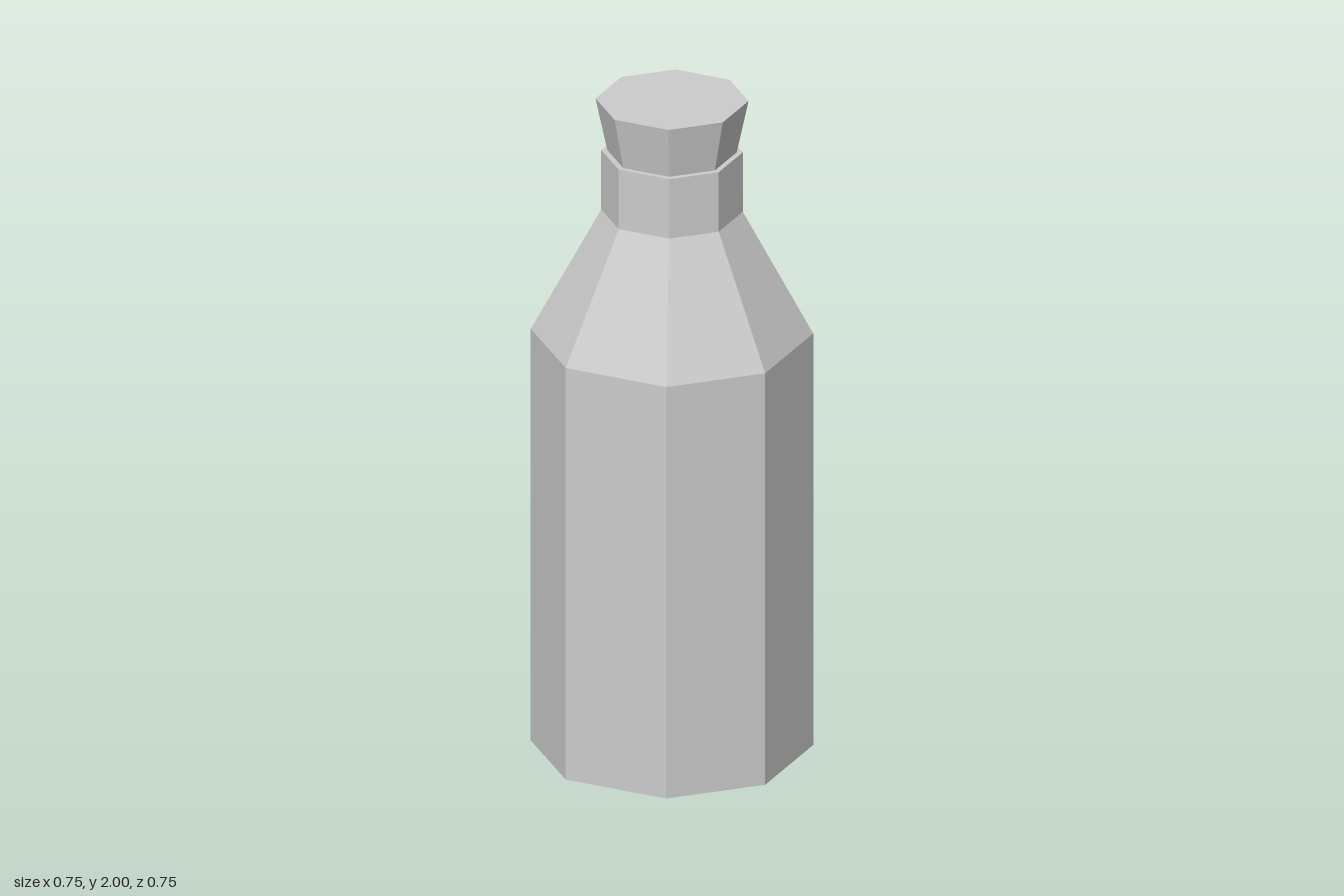
import * as THREE from 'three';

// Eight-sided ring: r = distance to the flat sides, h = half width of those sides
function ring([y, r, h]) {
  return [[-h, r], [h, r], [r, h], [r, -h], [h, -r], [-h, -r], [-r, -h], [-r, h]]
    .map(([x, z]) => [x, y, z]);
}

// Closed flat-shaded solid through a stack of rings, bottom to top
function loft(name, sections, material) {
  const rings = sections.map(ring);
  const pos = [];
  const tri = (a, b, c) => pos.push(...a, ...b, ...c);
  for (let k = 0; k + 1 < rings.length; k++) {
    const lo = rings[k], up = rings[k + 1];
    for (let i = 0; i < 8; i++) {
      const j = (i + 1) % 8;
      tri(lo[i], lo[j], up[j]);
      tri(lo[i], up[j], up[i]);
    }
  }
  // End caps
  const base = rings[0], top = rings[rings.length - 1];
  for (let i = 1; i < 7; i++) {
    tri(base[0], base[i + 1], base[i]);
    tri(top[0], top[i], top[i + 1]);
  }
  const geo = new THREE.BufferGeometry();
  geo.setAttribute('position', new THREE.Float32BufferAttribute(pos, 3));
  geo.computeVertexNormals();
  const mesh = new THREE.Mesh(geo, material);
  mesh.name = name;
  return mesh;
}

export function createModel() {
  const group = new THREE.Group();
  group.name = 'bottle';
  const grey = new THREE.MeshStandardMaterial({ color: 0xcccccc, flatShading: true });

  // Body, sloped shoulder and straight neck
  group.add(loft('bottleBody', [
    [0, 0.375, 0.15],
    [1.28, 0.375, 0.15],
    [1.655, 0.188, 0.075],
    [1.84, 0.188, 0.075],
  ], grey));

  // Tapered stopper, seated in the neck
  group.add(loft('stopper', [
    [1.8, 0.164, 0.066],
    [2, 0.203, 0.082],
  ], grey));

  return group;
}
